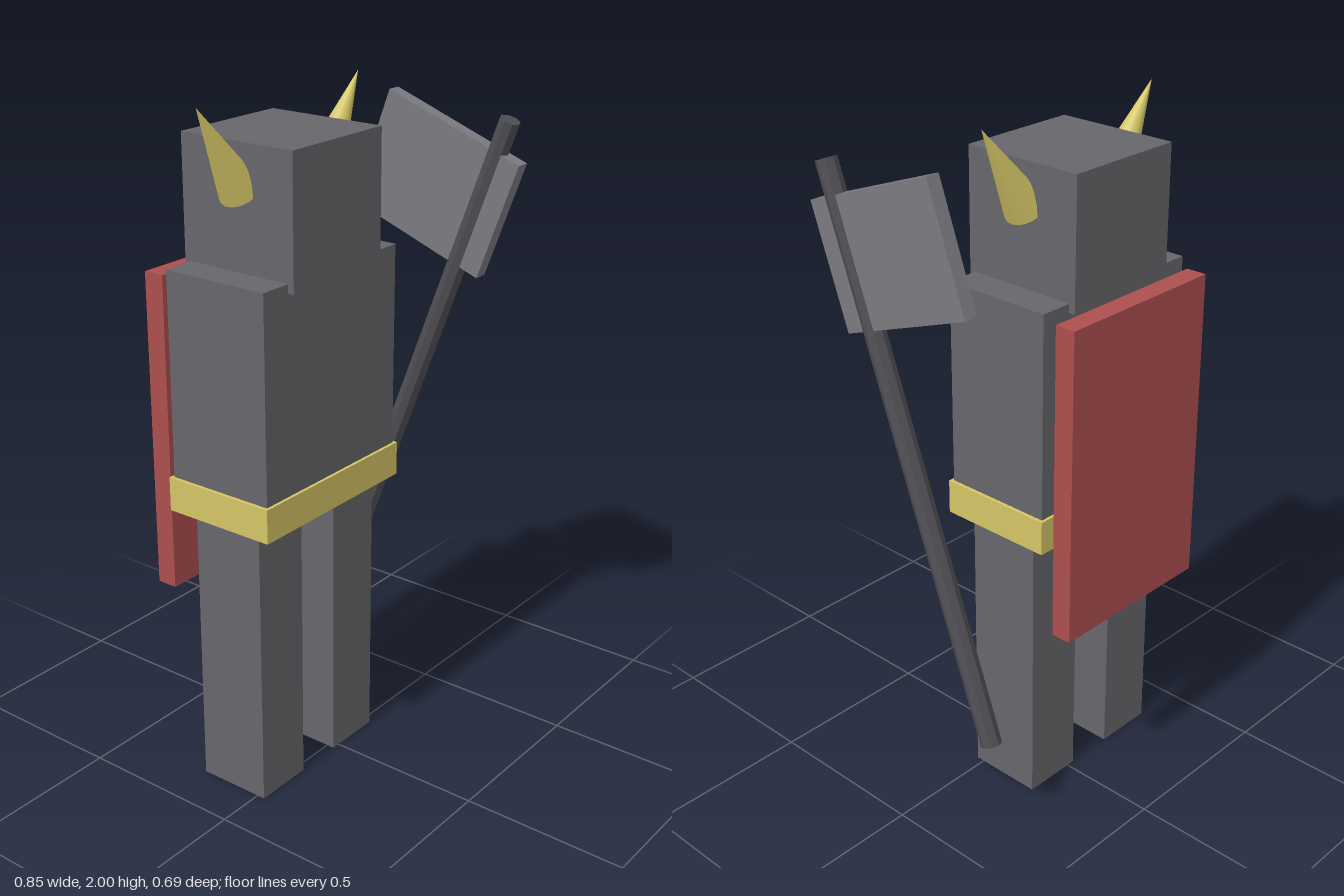
import * as THREE from 'three';

const paint = (color) => new THREE.MeshStandardMaterial({ color });

export function createModel() {
  const model = new THREE.Group();
  model.name = 'hornedWarrior';

  const armour = paint(0x67666b);
  const gold = paint(0xd4c566);
  const red = paint(0xad4e4e);
  const steel = paint(0x7b7a80);
  const wood = paint(0x4f4e53);
  wood.flatShading = true;

  const add = (parent, name, geometry, material, x, y, z) => {
    const mesh = new THREE.Mesh(geometry, material);
    mesh.name = name;
    mesh.position.set(x, y, z);
    parent.add(mesh);
    return mesh;
  };
  const box = (w, h, d) => new THREE.BoxGeometry(w, h, d);

  // Figure, built symmetric about its own centre line
  const figure = new THREE.Group();
  figure.name = 'figure';
  figure.position.set(-0.098, 0, -0.089);
  model.add(figure);

  add(figure, 'torso', box(0.565, 0.595, 0.332), armour, 0, 1.2525, 0);
  add(figure, 'belt', box(0.586, 0.1, 0.35), gold, 0, 0.906, 0);
  add(figure, 'head', box(0.371, 0.37, 0.371), armour, 0, 1.71, 0);
  add(figure, 'cape', box(0.536, 0.928, 0.062), red, 0, 1.0615, -0.226);

  // Legs and outward-leaning horns
  for (const [side, s] of [['left', 1], ['right', -1]]) {
    add(figure, side + 'Leg', box(0.183, 0.88, 0.225), armour, s * 0.165, 0.44, 0.001);
    const horn = add(figure, side + 'Horn', new THREE.ConeGeometry(0.058, 0.284, 32), gold, s * 0.25, 1.8815, 0);
    horn.rotation.z = -s * 0.583;
  }

  // Axe held at the left side, tilted forward at the top
  const axe = new THREE.Group();
  axe.name = 'axe';
  axe.position.set(0.396, 1.111, 0.017);
  axe.rotation.x = Math.PI / 9;
  model.add(axe);
  add(axe, 'axeHandle', new THREE.CylinderGeometry(0.03, 0.03, 1.647, 8), wood, 0, 0, 0);
  add(axe, 'axeBlade', box(0.042, 0.359, 0.46), steel, 0, 0.551, -0.147);

  return model;
}
